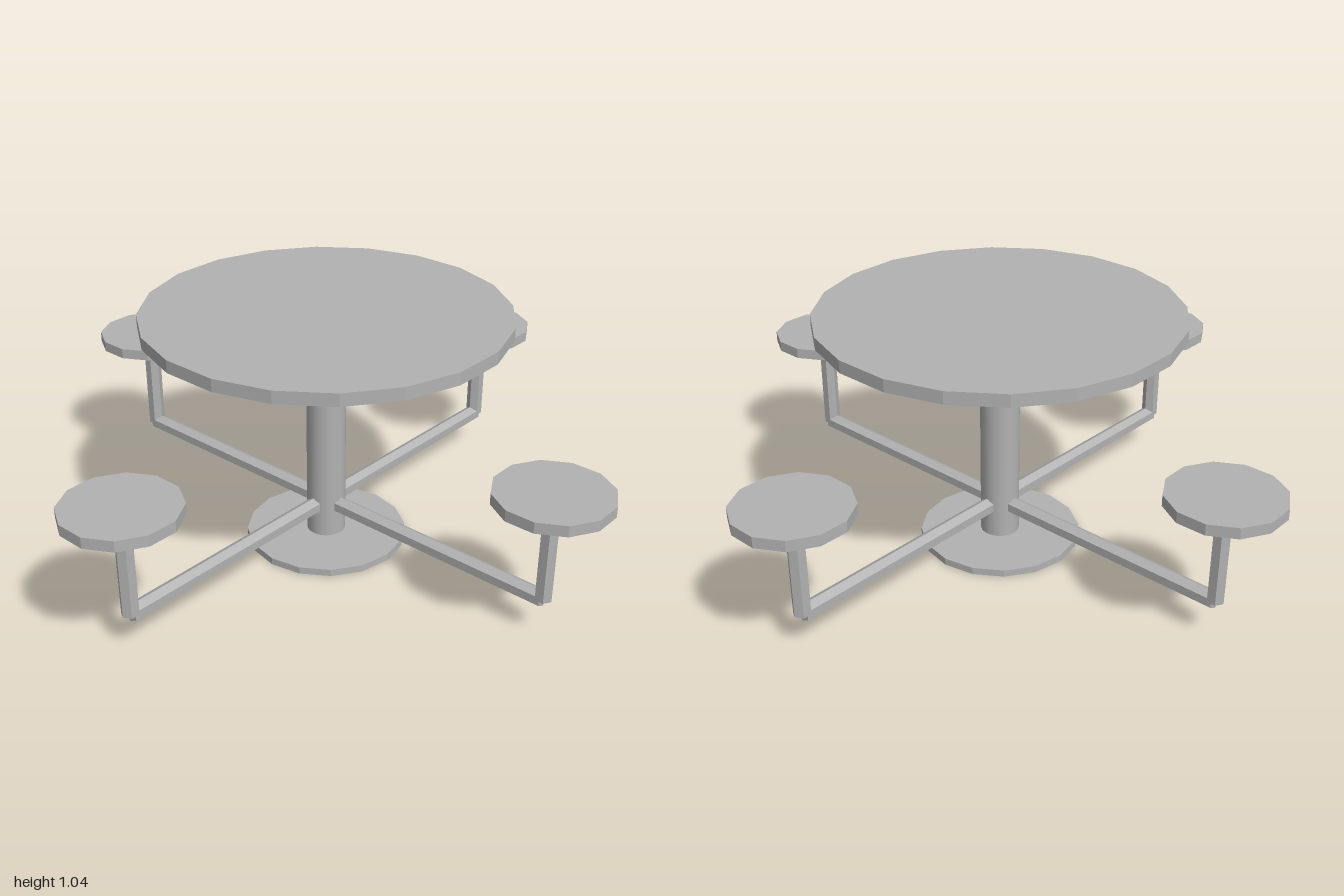
import * as THREE from 'three';

const metal = new THREE.MeshStandardMaterial({ color: 0xb2b2b2 });
metal.name = 'grey metal';

// Upright faceted disc or bar spanning bottom..top
function upright(name, radius, bottom, top, sides, flat = true) {
  let geometry = new THREE.CylinderGeometry(radius, radius, top - bottom, sides);
  if (flat) {
    geometry = geometry.toNonIndexed();
    geometry.computeVertexNormals();
  }
  const mesh = new THREE.Mesh(geometry, metal);
  mesh.name = name;
  mesh.position.y = (bottom + top) / 2;
  return mesh;
}

export function createModel() {
  const model = new THREE.Group();
  model.name = 'picnicTable';

  // Central pedestal
  model.add(upright('basePlate', 0.34, 0, 0.03, 16));
  model.add(upright('post', 0.082, 0.03, 0.985, 20, false));
  model.add(upright('tableTop', 0.747, 0.985, 1.037, 20));

  // Four seats on bent hexagonal arms along the diagonals
  const seatOffset = 0.77;
  const reach = seatOffset * Math.SQRT2;
  const armY = 0.167, barRadius = 0.036;
  for (let i = 0; i < 4; i++) {
    const unit = new THREE.Group();
    unit.name = 'seatUnit' + (i + 1);
    unit.rotation.y = Math.PI / 4 + i * Math.PI / 2;

    // Horizontal arm, one ridge upwards
    const arm = upright('arm', barRadius, 0, reach, 6);
    arm.rotation.x = Math.PI / 2;
    arm.position.set(0, armY, reach / 2);

    // Leg rising to the seat
    const leg = upright('leg', barRadius, armY, 0.59, 6);
    leg.position.z = reach;

    // Seat, its corners aligned with the main axes
    const seat = upright('seat', 0.23, 0.59, 0.635, 12);
    seat.position.z = reach;
    seat.rotation.y = -unit.rotation.y;

    unit.add(arm, leg, seat);
    model.add(unit);
  }
  return model;
}
